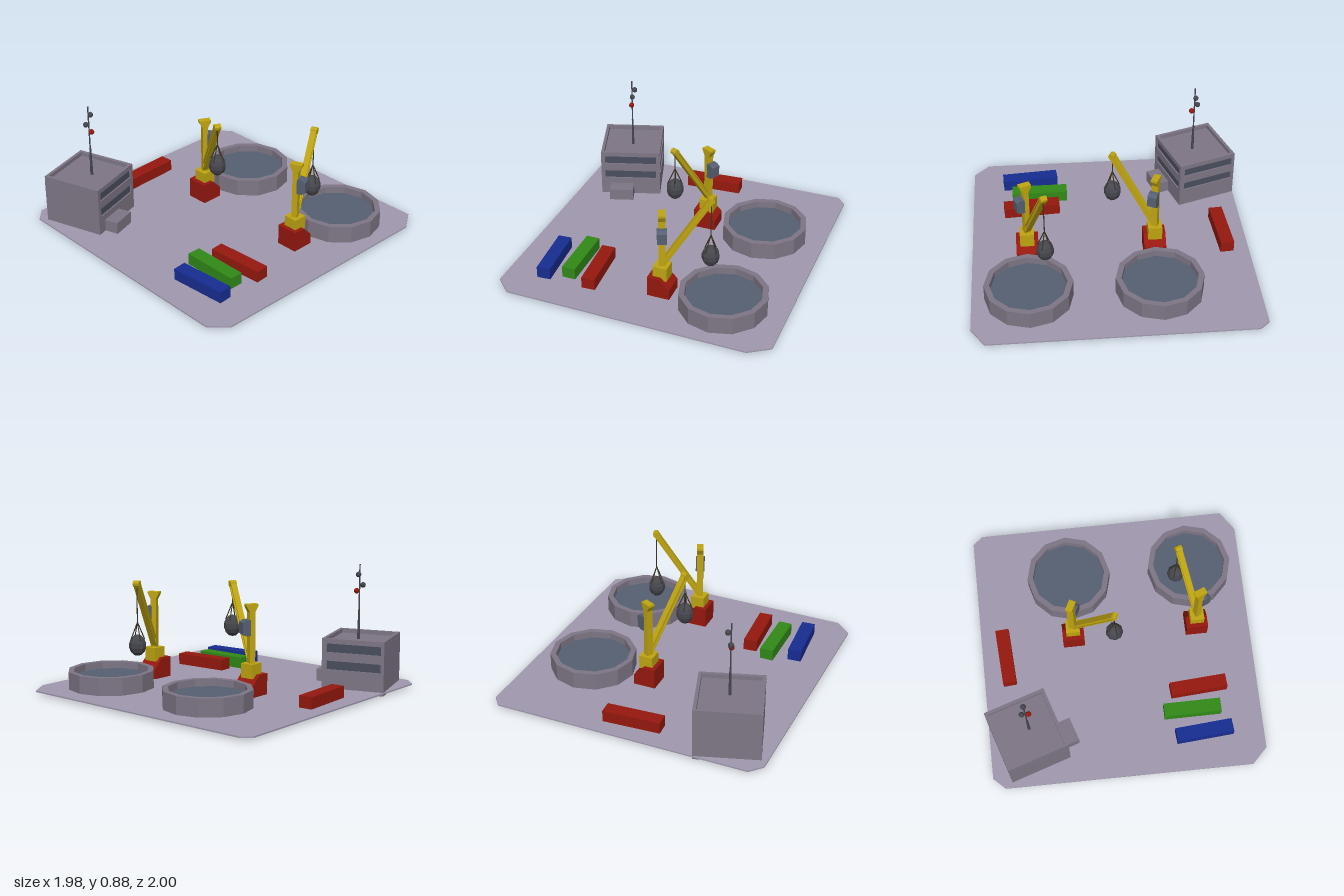
import * as THREE from 'three';

const mat = (color) => new THREE.MeshStandardMaterial({ color, flatShading: true });
const M = {
  ground: mat(0xa198ae), concrete: mat(0x7e7686), water: mat(0x566072), glass: mat(0x4a4e5e),
  dark: mat(0x46464e), cable: mat(0x3a3420), yellow: mat(0xbfa512), red: mat(0x96180e),
  green: mat(0x318a18), blue: mat(0x172d92),
};

function add(parent, name, geometry, material, x = 0, y = 0, z = 0) {
  const mesh = new THREE.Mesh(geometry, material);
  mesh.name = name;
  mesh.position.set(x, y, z);
  parent.add(mesh);
  return mesh;
}

function group(parent, name, x = 0, y = 0, z = 0) {
  const g = new THREE.Group();
  g.name = name;
  g.position.set(x, y, z);
  parent.add(g);
  return g;
}

const box = (w, h, d) => new THREE.BoxGeometry(w, h, d);
const outline = (pts) => new THREE.Shape(pts.map(([x, y]) => new THREE.Vector2(x, y)));

// Extrusion centred on its depth
function prism(shape, depth) {
  return new THREE.ExtrudeGeometry(shape, { depth, bevelEnabled: false }).translate(0, 0, -depth / 2);
}

// Thin rod between two points
function rod(parent, name, a, b, r, material) {
  const dir = b.clone().sub(a);
  const mesh = add(parent, name, new THREE.CylinderGeometry(r, r, dir.length(), 5), material);
  mesh.position.copy(a).addScaledVector(dir, 0.5);
  mesh.quaternion.setFromUnitVectors(new THREE.Vector3(0, 1, 0), dir.normalize());
}

// Round basin with a raised rim and a sunken surface
function addBasin(parent, x, z) {
  const basin = group(parent, 'basin', x, 0, z);
  const R = 0.307, r = 0.267;
  const profile = [[0, 0], [R, 0], [R, 0.15], [r, 0.15], [r, 0.09]].map(([a, b]) => new THREE.Vector2(a, b));
  add(basin, 'basinWall', new THREE.LatheGeometry(profile, 12), M.concrete);
  add(basin, 'basinWater', new THREE.CircleGeometry(r, 12).rotateX(-Math.PI / 2), M.water, 0, 0.1);
}

// Crane: the jib reaches towards (dx, dz), with its load hanging at loadY
function addCrane(parent, x, z, dx, dz, side, loadY) {
  const crane = group(parent, 'crane', x, 0, z);
  const foot = outline([[-0.08, 0], [0.08, 0], [0.08, 0.1], [0.008, 0.172], [-0.08, 0.172]]);
  add(crane, 'craneFoot', prism(foot, 0.157), M.red);
  add(crane, 'pedestal', box(0.1, 0.1, 0.1), M.yellow, 0, 0.197);

  const top = group(crane, 'turningPart');
  top.rotation.y = Math.atan2(-dz, dx);

  // Mast with a flared head
  const mast = outline([[-0.02, 0.24], [0.02, 0.24], [0.02, 0.6], [0.042, 0.64], [0.042, 0.656],
    [-0.042, 0.656], [-0.042, 0.64], [-0.02, 0.6]]);
  add(top, 'mast', prism(mast, 0.048).rotateY(-Math.PI / 2), M.yellow);

  // Cabin with bevelled outer edges, on one side of the mast
  const cabin = outline([[0.015, 0.44], [0.05, 0.44], [0.075, 0.455], [0.075, 0.535], [0.05, 0.55], [0.015, 0.55]]);
  const cab = add(top, 'cabin', prism(cabin, 0.066).rotateY(-Math.PI / 2), M.dark);
  cab.material = M.water;
  if (side < 0) cab.rotation.y = Math.PI;

  // Jib as an I-beam: web between two flanges
  const reach = 0.325, tipY = 0.755, startY = 0.255;
  const length = Math.hypot(reach, tipY - startY);
  const jib = group(top, 'jib', 0, startY, 0);
  jib.rotation.z = Math.atan2(tipY - startY, reach);
  add(jib, 'jibWeb', box(length, 0.026, 0.024), M.yellow, length / 2);
  for (const s of [-1, 1]) add(jib, 'jibFlange', box(length, 0.008, 0.042), M.yellow, length / 2, s * 0.015);
  add(jib, 'jibTip', new THREE.CylinderGeometry(0.023, 0.023, 0.046, 8).rotateX(Math.PI / 2), M.yellow, length);

  // Load on a cable with four slings
  const load = group(top, 'load', reach, loadY, 0);
  const knot = new THREE.Vector3(0, 0.165, 0);
  rod(load, 'cable', knot, new THREE.Vector3(0, tipY - loadY, 0), 0.004, M.cable);
  for (let i = 0; i < 4; i++) {
    const a = Math.PI / 4 + i * Math.PI / 2;
    rod(load, 'sling', knot, new THREE.Vector3(Math.cos(a) * 0.053, 0.04, Math.sin(a) * 0.053), 0.004, M.cable);
  }
  add(load, 'loadBall', new THREE.SphereGeometry(0.062, 9, 7).scale(1, 1.24, 1), M.dark);
}

// Wall panel with two long window openings
function windowPanel(width, height, depth) {
  const w = width / 2, o = 0.195;
  const shape = outline([[-w, 0], [w, 0], [w, height], [-w, height]]);
  for (const [a, b] of [[0.16, 0.222], [0.283, 0.345]]) {
    shape.holes.push(outline([[-o, a], [-o, b], [o, b], [o, a]]));
  }
  return prism(shape, depth);
}

function addBuilding(parent) {
  const b = group(parent, 'building', -0.66, 0, -0.705);
  b.rotation.y = 0.313;
  const S = 0.448, H = 0.38, h = S / 2, t = 0.012, roofY = 0.35;

  // Solid core up to the roof, set back behind the window walls
  add(b, 'core', box(S - t, roofY, S - t), M.concrete, -t / 2, roofY / 2, -t / 2);
  add(b, 'frontWall', windowPanel(S, H, t), M.concrete, 0, 0, h - t / 2);
  add(b, 'sideWall', windowPanel(S - t, H, t).rotateY(Math.PI / 2), M.concrete, h - t / 2, 0, -t / 2);

  // Recessed glass strips
  for (const y of [0.191, 0.314]) {
    add(b, 'frontWindow', box(0.4, 0.064, 0.004), M.glass, 0, y, h - t);
    add(b, 'sideWindow', box(0.004, 0.064, 0.4), M.glass, h - t, y, 0);
  }

  // Parapet round the roof
  const p = 0.022, ph = H - roofY;
  for (const s of [-1, 1]) {
    add(b, 'parapet', box(S - 0.002, ph, p), M.concrete, 0, roofY + ph / 2, s * (h - p / 2 - 0.001));
    add(b, 'parapet', box(p, ph, S - 2 * p), M.concrete, s * (h - p / 2 - 0.001), roofY + ph / 2, 0);
  }
  add(b, 'porch', box(0.178, 0.112, 0.11), M.concrete, -0.065, 0.056, h + 0.046);
}

function addAntenna(parent) {
  const a = group(parent, 'antenna', -0.65, 0, -0.685);
  add(a, 'lowerPole', new THREE.CylinderGeometry(0.007, 0.011, 0.22, 8), M.dark, 0, 0.45);
  add(a, 'upperPole', new THREE.CylinderGeometry(0.005, 0.005, 0.34, 8), M.dark, 0, 0.715);
  for (const [x, y, z, m] of [[0.021, 0.815, -0.004, M.dark], [-0.008, 0.74, -0.023, M.dark], [0.004, 0.695, 0.021, M.red]]) {
    add(a, 'antennaBall', new THREE.SphereGeometry(0.02, 8, 6), m, x, y, z);
  }
}

export function createModel() {
  const model = new THREE.Group();
  model.name = 'harbourYard';

  // Ground slab with clipped corners
  const slab = outline([[-0.885, -0.98], [0.84, -1], [0.985, -0.905], [0.985, 0.93], [0.925, 1],
    [-0.9, 0.985], [-0.98, 0.9], [-0.995, -0.87]]);
  add(model, 'groundSlab', prism(slab, 0.01).rotateX(-Math.PI / 2), M.ground, 0, 0.02);

  for (const z of [-0.303, 0.6]) addBasin(model, 0.547, z);

  addCrane(model, 0.105, -0.313, -0.15, 0.293, -1, 0.455);
  addCrane(model, 0.105, 0.595, 0.3, -0.12, 1, 0.317);

  // Cargo containers: x, z, turn, material
  for (const [x, z, turn, m] of [
    [-0.02, -0.82, Math.PI / 2 + 0.065, M.red], [-0.39, 0.55, 0.065, M.red],
    [-0.555, 0.485, 0, M.green], [-0.73, 0.55, 0.075, M.blue],
  ]) add(model, 'container', box(0.097, 0.108, 0.41), m, x, 0.054, z).rotation.y = turn;

  addBuilding(model);
  addAntenna(model);
  return model;
}
